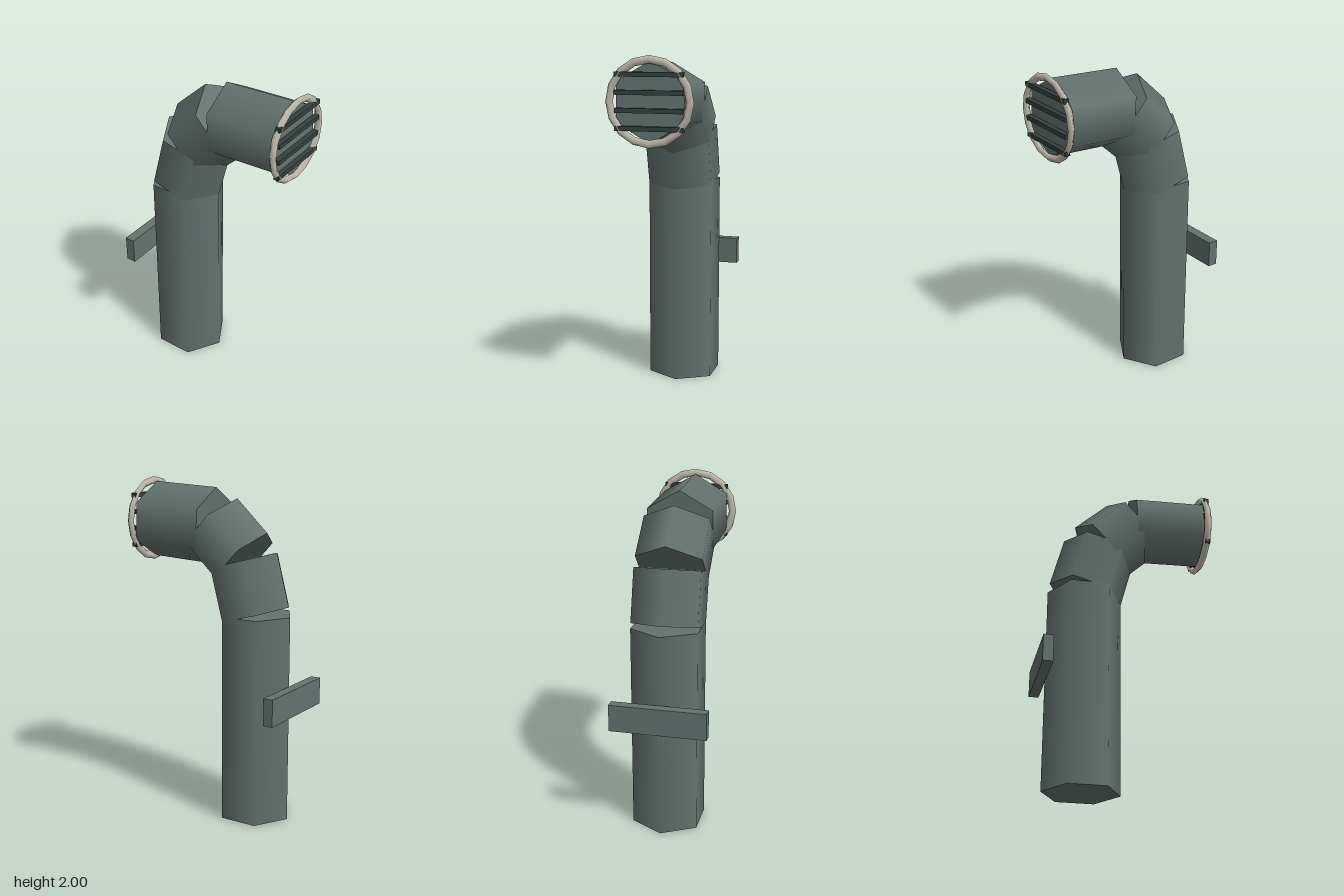
import * as THREE from 'three';

export function createModel() {
  const model = new THREE.Group();
  model.name = 'bentVentPipe';
  const pipeMat = new THREE.MeshStandardMaterial({ color: 0x64736f });
  const barMat = new THREE.MeshStandardMaterial({ color: 0x34423f });
  const ringMat = new THREE.MeshStandardMaterial({ color: 0xc8c2b4 });

  const add = (name, geometry, material, x, y, z, tilt = 0) => {
    const mesh = new THREE.Mesh(geometry, material);
    mesh.name = name;
    mesh.position.set(x, y, z);
    mesh.rotation.x = tilt;
    model.add(mesh);
  };

  // Six-sided pipe sections: name, length, y, z, forward tilt in degrees
  const sections = [
    ['uprightPipe', 1.23, 0.615, -0.238, 0],
    ['lowerElbow', 0.317, 1.385, -0.195, 14.8],
    ['upperElbow', 0.275, 1.633, -0.052, 47],
    ['mouthPipe', 0.43, 1.7355, 0.265, 87.2],
  ];
  for (const [name, length, y, z, tilt] of sections) {
    const geometry = new THREE.CylinderGeometry(0.225, 0.225, length, 6);
    add(name, geometry, pipeMat, 0, y, z, THREE.MathUtils.degToRad(tilt));
  }

  // Rim around the mouth
  add('mouthRing', new THREE.TorusGeometry(0.229, 0.022, 4, 16), ringMat, 0, 1.748, 0.494);

  // Grille bars across the mouth
  for (let i = 0; i < 4; i++) {
    add('grilleBar' + (i + 1), new THREE.BoxGeometry(0.39, 0.026, 0.03), barMat, 0, 1.604 + i * 0.0975, 0.499);
  }

  // Mounting bracket behind the upright
  add('wallBracket', new THREE.BoxGeometry(0.57, 0.16, 0.06), pipeMat, 0, 0.74, -0.487);

  return model;
}
